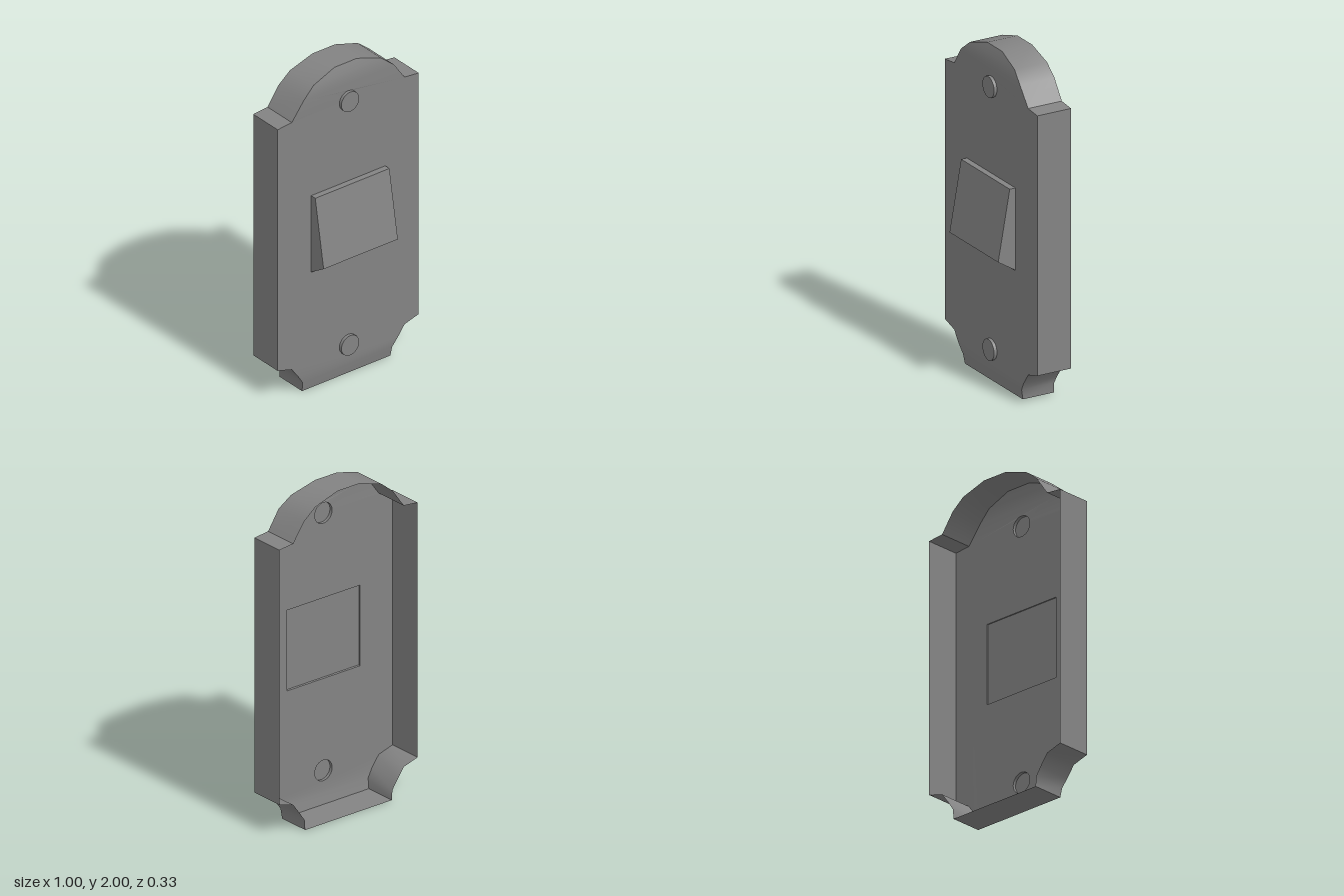
import * as THREE from 'three';
import { mergeVertices, toCreasedNormals } from 'three/addons/utils/BufferGeometryUtils.js';

const BACK = -0.165, FACE = 0.053;

// Right half of the plate rim, bottom to top: x, y, z of the front edge
const HALF = [
  [0.313, 0, 0.035], [0.317, 0.06, 0.046], [0.35, 0.11, FACE], [0.40, 0.178, FACE],
  [0.50, 0.207, FACE], [0.50, 1.762, FACE], [0.40, 1.772, FACE],
  [0.32, 1.885, 0.058], [0.24, 1.95, 0.046], [0.08, 2.0, 0.03],
];

const mirrored = (pts) => [...pts, ...pts.map(([x, y, z]) => [-x, y, z]).reverse()];
const quad = (a, b, c, d) => [...a, ...b, ...c, ...a, ...c, ...d];
const vec2 = ([x, y]) => new THREE.Vector2(x, y);

function fromTriangles(positions) {
  const g = new THREE.BufferGeometry();
  g.setAttribute('position', new THREE.Float32BufferAttribute(positions, 3));
  return g;
}

// Thin wall running round the rim, open at the back
function wallGeometry() {
  const rim = mirrored(HALF);
  const pos = rim.flatMap((a, i) => {
    const b = rim[(i + 1) % rim.length];
    return quad(a, [a[0], a[1], BACK], [b[0], b[1], BACK], b);
  });
  return toCreasedNormals(fromTriangles(pos), 0.7);
}

// Rows of quads for the sloping top and bottom ends of the face
function endTriangles(rows) {
  return rows.slice(1).flatMap((b, i) => {
    const a = rows[i];
    return quad([-a[0], a[1], a[2]], a, b, [-b[0], b[1], b[2]]);
  });
}

// Front face: flat middle with openings, blending smoothly into both ends
function faceGeometry(screws, radius, rocker) {
  const rim = mirrored(HALF.slice(2, 8));
  const shape = new THREE.Shape(rim.map(vec2));
  for (const y of screws) {
    shape.holes.push(new THREE.Path().absarc(0, y, radius, 0, Math.PI * 2, true));
  }
  const { w, y0, y1 } = rocker;
  shape.holes.push(new THREE.Path([[-w, y0], [-w, y1], [w, y1], [w, y0]].map(vec2)));
  const middle = new THREE.ShapeGeometry(shape, 12).toNonIndexed().attributes.position;
  const [shoulderX, shoulderY, shoulderZ] = HALF[7];
  const pos = [...endTriangles(HALF.slice(0, 3)), ...endTriangles(HALF.slice(7))];
  for (let i = 0; i < middle.count; i++) {
    const [x, y] = [middle.getX(i), middle.getY(i)];
    const raised = Math.abs(Math.abs(x) - shoulderX) + Math.abs(y - shoulderY) < 1e-4;
    pos.push(x, y, raised ? shoulderZ : FACE);
  }
  const g = mergeVertices(fromTriangles(pos));
  g.computeVertexNormals();
  return g;
}

// Wedge, open at the back, from its side profile of [z, y] points
function rockerGeometry({ w, y0, y1 }) {
  const profile = [[FACE, y0], [0.165, 0.828], [0.09, y1], [FACE, y1]];
  const left = profile.map(([z, y]) => [w, y, z]);
  const right = profile.map(([z, y]) => [-w, y, z]);
  const pos = [...quad(...[...left].reverse()), ...quad(...right)];
  for (let i = 0; i < 3; i++) pos.push(...quad(right[i], left[i], left[i + 1], right[i + 1]));
  const g = fromTriangles(pos);
  g.computeVertexNormals();
  return g;
}

export function createModel() {
  const model = new THREE.Group();
  model.name = 'wallSwitch';
  const material = new THREE.MeshStandardMaterial({ color: 0x838383, side: THREE.DoubleSide });
  const add = (name, geometry) => {
    const mesh = new THREE.Mesh(geometry, material);
    mesh.name = name;
    model.add(mesh);
    return mesh;
  };

  const screws = [0.197, 1.768], radius = 0.063;
  const rocker = { w: 0.263, y0: 0.758, y1: 1.25 };

  add('plateWall', wallGeometry());
  add('plateFace', faceGeometry(screws, radius, rocker));

  // Screw heads: shallow caps, hollow behind
  const cap = new THREE.LatheGeometry([[radius, 0], [radius, 0.019], [0, 0.019]].map(vec2), 24);
  const capGeometry = toCreasedNormals(cap.rotateX(Math.PI / 2), 0.6);
  screws.forEach((y, i) => {
    add(i ? 'topScrew' : 'bottomScrew', capGeometry).position.set(0, y, FACE);
  });

  // Rocker with a backing panel set slightly into its opening
  add('rocker', rockerGeometry(rocker));
  add('rockerBack', new THREE.PlaneGeometry(rocker.w * 2, rocker.y1 - rocker.y0))
    .position.set(0, (rocker.y0 + rocker.y1) / 2, FACE + 0.007);

  return model;
}
